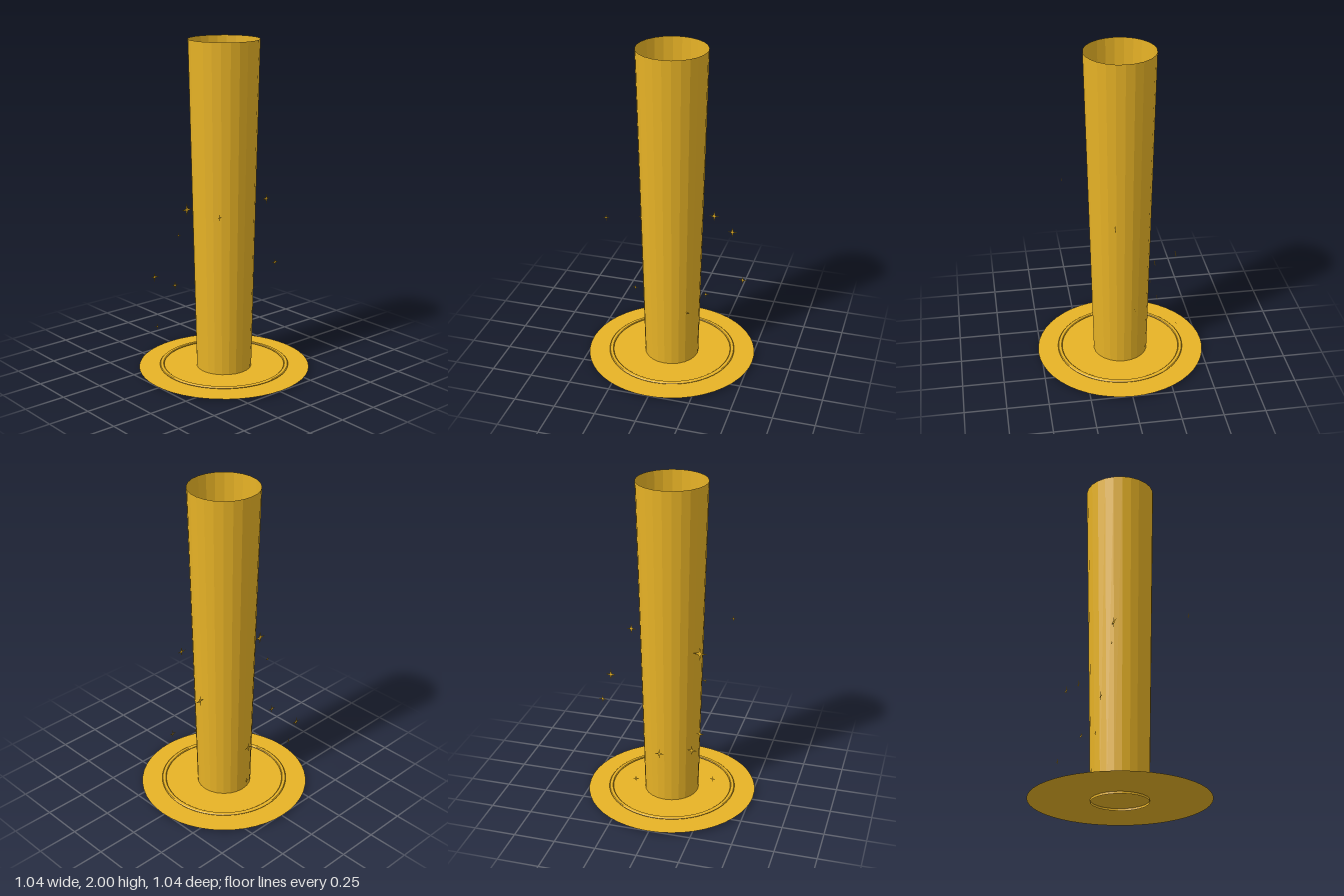
import * as THREE from 'three';

export function createModel() {
  const model = new THREE.Group();
  model.name = 'lightBeam';
  const gold = new THREE.MeshStandardMaterial({ color: 0xf2bb28, side: THREE.DoubleSide, flatShading: true });
  gold.name = 'gold';

  const add = (name, geometry, x = 0, y = 0, z = 0) => {
    const mesh = new THREE.Mesh(geometry, gold);
    mesh.name = name;
    mesh.position.set(x, y, z);
    model.add(mesh);
    return mesh;
  };

  // Tall open beam, slightly wider at the top
  add('beam', new THREE.CylinderGeometry(0.208, 0.166, 2, 24, 1, true), 0, 1, 0);

  // Flat glow on the ground
  add('groundDisc', new THREE.CircleGeometry(0.518, 48).rotateX(-Math.PI / 2), 0, 0.013, 0);

  // Thin raised ring with bevelled edges
  const ringProfile = [
    [0.366, 0.021], [0.391, 0.021], [0.392, 0.024], [0.387, 0.028],
    [0.37, 0.028], [0.365, 0.024], [0.366, 0.021],
  ].map(([r, y]) => new THREE.Vector2(r, y));
  add('groundRing', new THREE.LatheGeometry(ringProfile, 64));

  // Flat four-pointed sparkle of unit size
  const star = new THREE.Shape();
  for (let i = 0; i < 8; i++) {
    const a = (i * Math.PI) / 4;
    const r = i % 2 ? 0.25 : 1;
    const x = r * Math.cos(a), y = r * Math.sin(a);
    if (i) star.lineTo(x, y);
    else star.moveTo(x, y);
  }
  star.closePath();
  const starGeometry = new THREE.ShapeGeometry(star);

  // Sparkles floating round the beam: x, y, z, half size
  [
    [-0.30, 1.06, 0.315, 0.019],
    [0.275, 1.03, 0.07, 0.031],
    [0.335, 0.82, -0.15, 0.032],
    [0.437, 0.575, -0.02, 0.025],
    [0.13, 0.24, -0.33, 0.021],
    [0.13, 0.375, 0.122, 0.012],
    [-0.197, 1.005, -0.105, 0.042],
    [-0.238, 0.85, -0.132, 0.017],
    [-0.225, 0.523, -0.19, 0.028],
    [-0.228, 0.525, -0.39, 0.031],
    [-0.319, 0.265, -0.25, 0.018],
    [0.015, 0.37, -0.227, 0.03],
  ].forEach(([x, y, z, s], i) => {
    add(`sparkle${i + 1}`, starGeometry, x, y, z).scale.set(s, s, 1);
  });

  return model;
}
